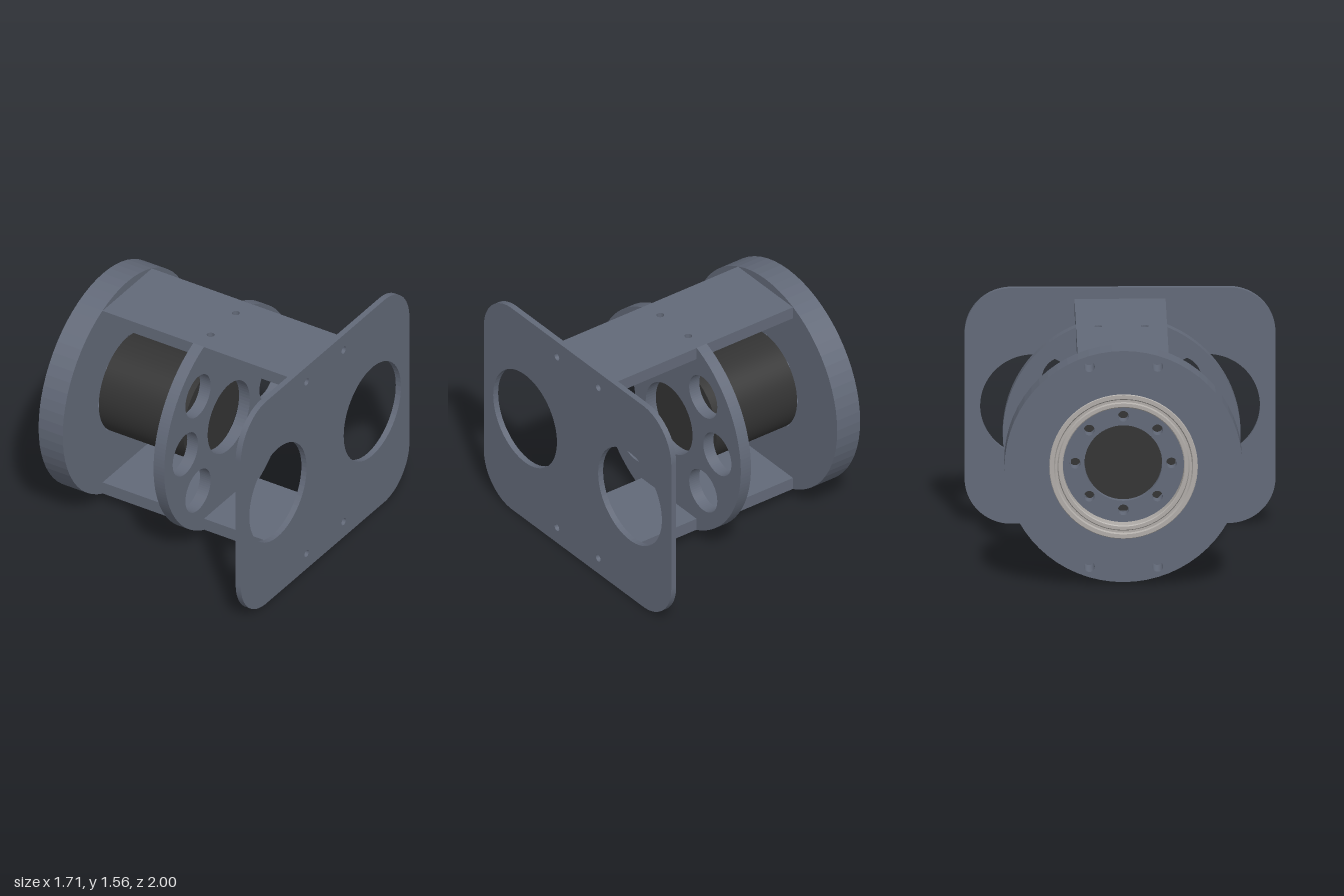
import * as THREE from 'three';
import { toCreasedNormals } from 'three/addons/utils/BufferGeometryUtils.js';

const CY = 0.782; // height of the main axis

const material = (name, color) => {
  const m = new THREE.MeshStandardMaterial({ color });
  m.name = name;
  return m;
};

const circle = (x, y, r) => new THREE.Path().absarc(x, y, r, 0, Math.PI * 2, true);

function disc(r) {
  const s = new THREE.Shape();
  s.absarc(0, 0, r, 0, Math.PI * 2, false);
  return s;
}

// Plate across the x axis, spanning x0 to x1
function crossPlate(shape, x0, x1) {
  return new THREE.ExtrudeGeometry(shape, { depth: x1 - x0, bevelEnabled: false, curveSegments: 32 })
    .rotateY(Math.PI / 2).translate(x0, CY, 0);
}

// Four screw holes in line with the ends of the strips
function addStripScrews(shape, r) {
  for (const sx of [-1, 1]) for (const sy of [-1, 1]) shape.holes.push(circle(sx * 0.22, sy * 0.662, r));
}

export function createModel() {
  const group = new THREE.Group();
  const metal = material('slate metal', 0x626978);
  const black = material('motor black', 0x333333);
  const steel = material('bearing steel', 0xb0aca8);
  const add = (name, geometry, mat, parent = group) => {
    const mesh = new THREE.Mesh(geometry, mat);
    mesh.name = name;
    parent.add(mesh);
    return mesh;
  };

  // Rounded end plate with two large openings
  const W = 1, H = 0.78, R = 0.3;
  const plate = new THREE.Shape();
  plate.absarc(W - R, H - R, R, 0, Math.PI / 2, false);
  plate.absarc(R - W, H - R, R, Math.PI / 2, Math.PI, false);
  plate.absarc(R - W, R - H, R, Math.PI, Math.PI * 1.5, false);
  plate.absarc(W - R, R - H, R, Math.PI * 1.5, Math.PI * 2, false);
  plate.closePath();
  for (const s of [-1, 1]) plate.holes.push(circle(s * 0.56, 0, 0.34));
  addStripScrews(plate, 0.025);
  add('endPlate', crossPlate(plate, 0.81, 0.85).translate(0, 0.78 - CY, 0), metal);

  // Upper and lower connecting strips
  const strip = new THREE.Shape([
    new THREE.Vector2(-0.665, -0.293), new THREE.Vector2(0.81, -0.293),
    new THREE.Vector2(0.81, 0.293), new THREE.Vector2(-0.665, 0.293),
  ]);
  for (const s of [-1, 1]) strip.holes.push(circle(0.07, s * 0.15, 0.025));
  for (const [name, y] of [['upperStrip', 1.402], ['lowerStrip', 0.077]]) {
    add(name, new THREE.ExtrudeGeometry(strip, { depth: 0.085, bevelEnabled: false, curveSegments: 16 })
      .rotateX(-Math.PI / 2).translate(0, y, 0), metal);
  }

  // Middle disc, notched to receive the strips
  const rad = 0.765, half = 0.293, notch = 0.62;
  const a = Math.acos(half / rad), top = rad * Math.sin(a);
  const mid = new THREE.Shape();
  mid.moveTo(half, -notch);
  mid.lineTo(half, -top);
  mid.absarc(0, 0, rad, -a, a, false);
  mid.lineTo(half, notch);
  mid.lineTo(-half, notch);
  mid.lineTo(-half, top);
  mid.absarc(0, 0, rad, Math.PI - a, Math.PI + a, false);
  mid.lineTo(-half, -notch);
  mid.closePath();
  mid.holes.push(circle(0, 0, 0.25));
  for (const s of [-1, 1]) for (const k of [-1, 0, 1]) {
    const t = k * Math.PI / 4;
    mid.holes.push(circle(s * 0.515 * Math.cos(t), 0.515 * Math.sin(t), 0.15));
  }
  add('middleDisc', crossPlate(mid, 0.03, 0.112), metal);

  // Thick bearing housing: bored outer half, drilled inner half
  const housing = new THREE.Group();
  housing.name = 'bearingHousing';
  group.add(housing);
  const bored = disc(rad);
  bored.holes.push(circle(0, 0, 0.478));
  addStripScrews(bored, 0.035);
  add('boredHalf', crossPlate(bored, -0.85, -0.755), metal, housing);
  const drilled = disc(rad);
  drilled.holes.push(circle(0, 0, 0.25));
  addStripScrews(drilled, 0.035);
  for (let i = 0; i < 8; i++) {
    const t = i * Math.PI / 4;
    drilled.holes.push(circle(0.31 * Math.cos(t), 0.31 * Math.sin(t), 0.035));
  }
  add('drilledHalf', crossPlate(drilled, -0.755, -0.665), metal, housing);

  // Bearing: outer and inner race with a recessed shield between
  const profile = [
    [0.478, 0], [0.478, 0.096], [0.474, 0.1], [0.448, 0.1], [0.44, 0.088],
    [0.425, 0.088], [0.418, 0.1], [0.396, 0.1], [0.39, 0.095], [0.39, 0],
  ].map(([r, h]) => new THREE.Vector2(r, h));
  const bearing = new THREE.LatheGeometry(profile, 72).rotateZ(Math.PI / 2).translate(-0.755, CY, 0);
  add('bearing', toCreasedNormals(bearing, 0.5), steel);

  // Motor body and the boss that seats in the housing
  const cylinder = (r, x0, x1) => new THREE.CylinderGeometry(r, r, x1 - x0, 64)
    .rotateZ(Math.PI / 2).translate((x0 + x1) / 2, CY, 0);
  add('motorBody', cylinder(0.337, -0.665, -0.017), black);
  add('motorBoss', cylinder(0.248, -0.72, -0.66), black);

  return group;
}
